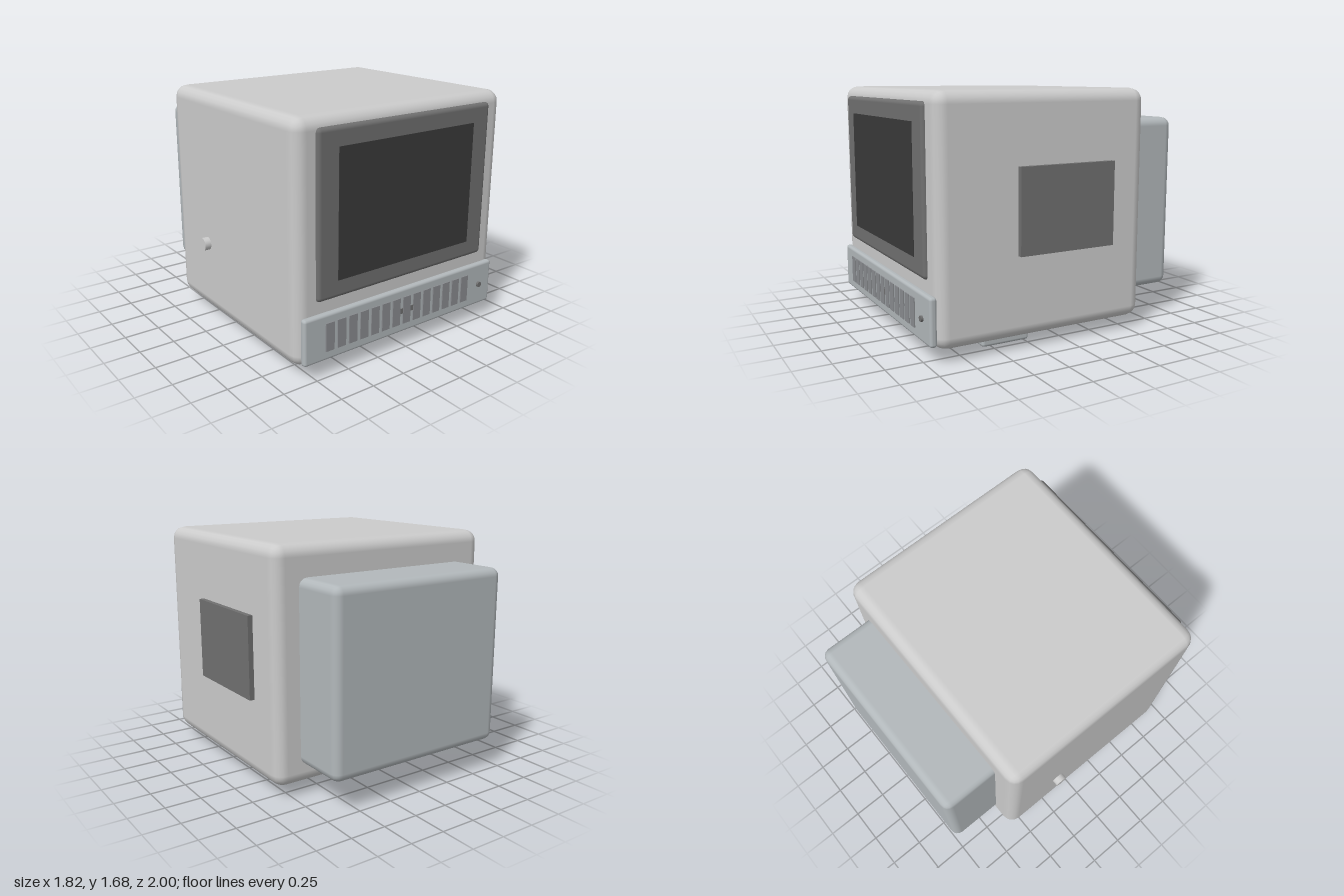
import * as THREE from 'three';
import { RoundedBoxGeometry } from 'three/addons/geometries/RoundedBoxGeometry.js';

const mat = (color) => new THREE.MeshStandardMaterial({ color });

export function createModel() {
  const model = new THREE.Group();
  const shell = mat(0xcccccc), trim = mat(0xb2b8bb), dark = mat(0x707070);
  const glass = mat(0x3a3a3a), slatMat = mat(0x8a8c90);

  const add = (name, geometry, material, x, y, z) => {
    const mesh = new THREE.Mesh(geometry, material);
    mesh.name = name;
    mesh.position.set(x, y, z);
    model.add(mesh);
    return mesh;
  };

  // Box given by its extents on each axis; a radius rounds the edges
  const box = (name, material, [x0, x1], [y0, y1], [z0, z1], radius = 0) => {
    const size = [x1 - x0, y1 - y0, z1 - z0];
    const geometry = radius
      ? new RoundedBoxGeometry(...size, 2, radius)
      : new THREE.BoxGeometry(...size);
    return add(name, geometry, material, (x0 + x1) / 2, (y0 + y1) / 2, (z0 + z1) / 2);
  };

  // Cabinet and the narrower tube housing behind it
  box('cabinet', shell, [-0.87, 0.87], [0.08, 1.675], [-0.605, 0.95], 0.085);
  box('rearHousing', trim, [-0.69, 0.69], [0.22, 1.46], [-1, -0.5], 0.06);

  // Screen in its raised surround
  box('screenSurround', dark, [-0.725, 0.725], [0.51, 1.605], [0.87, 0.974], 0.03);
  box('screen', glass, [-0.57, 0.57], [0.63, 1.48], [0.93, 0.977]);

  // Lower control panel with its row of slats
  box('controlPanel', trim, [-0.835, 0.835], [0.11, 0.43], [0.935, 0.985], 0.02);
  for (let i = 0; i < 14; i++) {
    const x = -0.64 + i * 0.0923;
    box('slat', slatMat, [x - 0.033, x + 0.033], [0.175, 0.37], [0.95, 0.992]);
  }
  box('slatBar', dark, [-0.05, 0.065], [0.252, 0.29], [0.95, 0.99]);

  // Power button on the control panel
  const button = add('powerButton', new THREE.CylinderGeometry(0.02, 0.02, 0.05, 16), dark, 0.71, 0.27, 0.975);
  button.rotation.x = Math.PI / 2;

  // Plate on the left flank, knob on the right flank
  box('sidePlate', dark, [0.85, 0.905], [0.63, 1.2], [-0.325, 0.39]);
  const knob = add('sideKnob', new THREE.CylinderGeometry(0.046, 0.046, 0.07, 16), shell, -0.88, 0.595, -0.153);
  knob.rotation.z = Math.PI / 2;

  // Pair of feet
  for (const side of [-1, 1]) {
    const x = side * 0.57;
    box('foot', trim, [x - 0.14, x + 0.14], [0, 0.082], [0.215, 0.565], 0.02);
  }

  return model;
}
